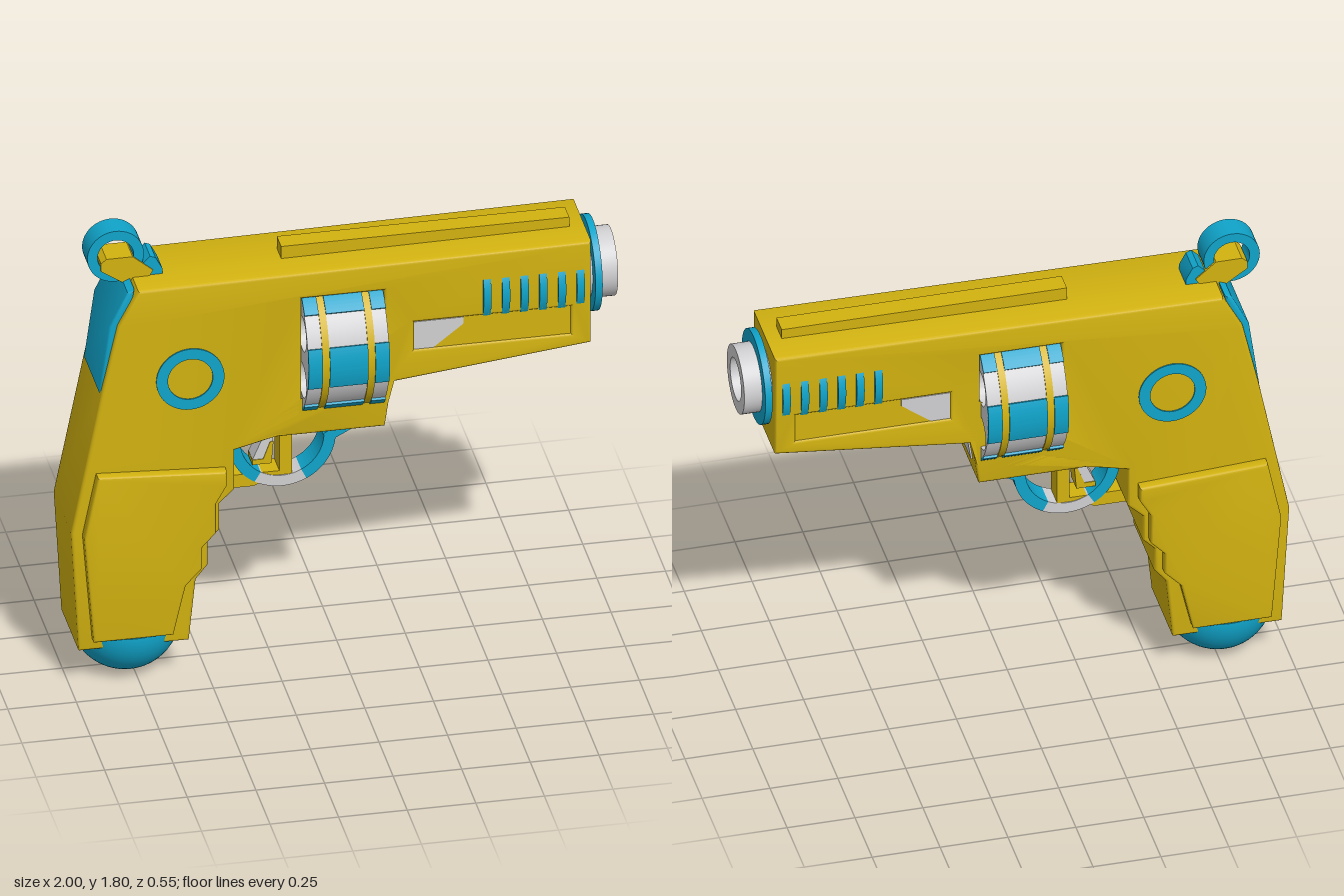
import * as THREE from 'three';
import { toCreasedNormals } from 'three/addons/utils/BufferGeometryUtils.js';

const mat = (name, color) => Object.assign(new THREE.MeshStandardMaterial({ color }), { name });

// Shape helpers
const poly = (pts) => new THREE.Shape(pts.map(([x, y]) => new THREE.Vector2(x, y)));
const disc = (r, x = 0, y = 0) => new THREE.Shape().absarc(x, y, r, 0, Math.PI * 2, false);
function ring(ro, ri, x = 0, y = 0) {
  const s = disc(ro, x, y);
  s.holes.push(disc(ri, x, y));
  return s;
}
function arcBand(ro, ri, a0, a1, x = 0, y = 0) {
  const s = new THREE.Shape();
  const d = Math.PI / 180;
  s.absarc(x, y, ro, a0 * d, a1 * d, false);
  s.absarc(x, y, ri, a1 * d, a0 * d, true);
  s.closePath();
  return s;
}
const rect = (x0, x1, y0, y1) => poly([[x0, y0], [x1, y0], [x1, y1], [x0, y1]]);

// Extrude a side outline between z0 and z1, with an optional bevel kept inside the outline
function slab(shape, z0, z1, bevel = 0) {
  const g = new THREE.ExtrudeGeometry(shape, {
    depth: z1 - z0 - 2 * bevel, bevelEnabled: bevel > 0, bevelThickness: bevel,
    bevelSize: bevel, bevelOffset: -bevel, bevelSegments: 3, curveSegments: 24,
  });
  g.translate(0, 0, z0 + bevel);
  return toCreasedNormals(g, 0.6);
}
// Extrude a cross-section along x, centred on height y
const alongX = (shape, x0, x1, y) => slab(shape, x0, x1).rotateY(Math.PI / 2).translate(0, y, 0);

export function createModel() {
  const yellow = mat('yellow', 0xd2b210);
  const teal = mat('teal', 0x10a4ca);
  const grey = mat('lightGrey', 0xd0d0d2);
  const group = new THREE.Group();
  const add = (name, geometry, material) => {
    const m = new THREE.Mesh(geometry, material);
    m.name = name;
    group.add(m);
    return m;
  };

  // Body with the drum window and side panel cut out
  const body = poly([
    [-0.972, 0.16], [-0.57, 0.16], [-0.545, 0.406], [-0.502, 0.46], [-0.502, 0.556],
    [-0.46, 0.6], [-0.46, 0.706], [-0.405, 0.76], [-0.405, 0.92], [-0.255, 0.957],
    [0.144, 0.957], [0.17, 1.135], [0.895, 1.215], [0.895, 1.63], [-0.755, 1.613],
    [-0.828, 1.476], [-0.888, 1.21], [-1, 0.647],
  ]);
  body.holes.push(rect(-0.16, 0.14, 1.055, 1.515), rect(0.25, 0.82, 1.26, 1.372));
  add('body', slab(body, -0.162, 0.162, 0.012), yellow);
  add('sidePanelFill', slab(rect(0.24, 0.83, 1.25, 1.38), -0.155, 0.155), yellow);
  add('topRail', slab(rect(-0.21, 0.84, 1.6, 1.668), -0.038, 0.038), yellow);

  // Parts repeated on both sides
  const gripOutline = poly([
    [-0.91, 0.885], [-0.96, 0.64], [-0.925, 0.21], [-0.635, 0.21], [-0.59, 0.406],
    [-0.53, 0.47], [-0.53, 0.556], [-0.48, 0.61], [-0.48, 0.73], [-0.44, 0.8], [-0.44, 0.858],
  ]);
  const panelMark = poly([[0.25, 1.26], [0.32, 1.26], [0.43, 1.345], [0.43, 1.372], [0.25, 1.372]]);
  for (const [side, s] of [['left', 1], ['right', -1]]) {
    const both = (name, shape, a, b, material, bevel) =>
      add(side + name, slab(shape, s > 0 ? a : -b, s > 0 ? b : -a, bevel), material);
    both('GripPanel', gripOutline, 0.15, 0.202, yellow, 0.01);
    both('SideRing', ring(0.124, 0.082, -0.567, 1.235), 0.16, 0.167, teal);
    both('PanelMark', panelMark, 0.152, 0.158, grey);
  }

  // Rounded grip base
  add('gripBase', new THREE.SphereGeometry(0.2, 40, 16, 0, Math.PI * 2, Math.PI / 2, Math.PI / 2)
    .translate(-0.773, 0.205, 0), teal);
  add('gripBaseTop', new THREE.CylinderGeometry(0.2, 0.2, 0.01, 40).translate(-0.773, 0.205, 0), teal);

  // Rotating drum with six open chambers
  const drumY = 1.28;
  const core = disc(0.267);
  for (let i = 0; i < 6; i++) {
    const a = Math.PI / 6 + i * Math.PI / 3;
    core.holes.push(disc(0.066, 0.19 * Math.cos(a), 0.19 * Math.sin(a)));
  }
  add('drum', alongX(core, -0.158, 0.138, drumY), grey);
  for (const x of [-0.106, 0.06]) add('drumBand', alongX(ring(0.271, 0.262), x, x + 0.026, drumY), yellow);
  for (let i = 0; i < 6; i++) {
    for (const [x0, x1] of [[-0.158, -0.106], [-0.08, 0.06], [0.086, 0.138]]) {
      add('drumStrip', alongX(arcBand(0.276, 0.262, i * 60 - 17, i * 60 + 17), x0, x1, drumY), teal);
    }
  }

  // Barrel rings showing through the sides, and the muzzle
  const barrelY = 1.453;
  for (let i = 0; i < 6; i++) {
    const x = 0.515 + i * 0.068;
    add('ventRing', alongX(disc(0.176), x - 0.014, x + 0.014, 1.45), teal);
  }
  add('muzzleNeck', alongX(ring(0.125, 0.08), 0.88, 0.91, barrelY), grey);
  add('muzzleFlange', alongX(ring(0.175, 0.1), 0.908, 0.934, barrelY), teal);
  add('muzzle', alongX(ring(0.128, 0.08), 0.91, 1.0, barrelY), grey);
  add('boreEnd', alongX(disc(0.082), 0.89, 0.899, barrelY), teal);

  // Plates on the sloping face under the barrel
  const nose = new THREE.Group();
  nose.name = 'nosePlates';
  nose.position.set(0.163, 1.07, 0);
  nose.rotation.z = -0.145;
  const noseGrey = new THREE.Mesh(new THREE.BoxGeometry(0.008, 0.075, 0.22), grey);
  const noseTeal = new THREE.Mesh(
    slab(poly([[-0.11, 0.038], [0.11, 0.038], [0.13, 0.068], [-0.13, 0.068]]), -0.004, 0.004)
      .rotateY(Math.PI / 2), teal);
  noseGrey.name = 'noseInsert';
  noseTeal.name = 'noseTrim';
  nose.add(noseGrey, noseTeal);
  group.add(nose);

  // Trigger guard with a grey lower section and a forward strut
  const gx = -0.208, gy = 0.885, w = 0.047;
  add('guardRear', slab(arcBand(0.195, 0.152, 160, 239, gx, gy), -w, w), teal);
  add('guardBottom', slab(arcBand(0.195, 0.152, 239, 297, gx, gy), -w, w), grey);
  add('guardFront', slab(arcBand(0.195, 0.152, 297, 360, gx, gy), -w, w), teal);
  add('guardStrut', slab(poly([[-0.06, 0.885], [-0.014, 0.865], [0.14, 0.945], [0.14, 0.965], [0.08, 0.965]]), -w, w), teal);
  add('underPlate', slab(rect(-0.05, 0.13, 0.95, 0.959), -0.13, 0.13), teal);

  // Trigger and its L-shaped frame
  add('triggerFrame', slab(poly([
    [-0.43, 0.7], [-0.31, 0.7], [-0.24, 0.735], [-0.172, 0.735], [-0.172, 0.965],
    [-0.218, 0.965], [-0.218, 0.752], [-0.43, 0.752],
  ]), -0.045, 0.045), yellow);
  add('trigger', slab(poly([
    [-0.31, 0.965], [-0.235, 0.965], [-0.24, 0.86], [-0.275, 0.8], [-0.315, 0.8], [-0.28, 0.88],
  ]), -0.035, 0.035), grey);
  add('triggerTip', slab(poly([
    [-0.315, 0.782], [-0.245, 0.782], [-0.238, 0.87], [-0.25, 0.87], [-0.275, 0.802], [-0.315, 0.802],
  ]), -0.038, 0.038), yellow);
  add('triggerRear', slab(poly([[-0.4, 0.93], [-0.31, 0.945], [-0.33, 0.9], [-0.39, 0.84]]), -0.035, 0.035), teal);

  // Back plate, hammer and loop
  add('backPlate', slab(poly([
    [-0.765, 1.61], [-0.79, 1.6], [-0.856, 1.467], [-0.893, 1.2], [-0.85, 1.2], [-0.79, 1.45],
  ]), -0.142, 0.142, 0.01), teal);
  add('hammer', slab(poly([
    [-0.87, 1.65], [-0.87, 1.682], [-0.85, 1.698], [-0.755, 1.698], [-0.68, 1.635], [-0.7, 1.6], [-0.79, 1.595],
  ]), -0.055, 0.055), yellow);
  add('hammerLoop', slab(ring(0.103, 0.066, -0.815, 1.702), -w, w), teal);
  add('hammerFoot', slab(poly([
    [-0.72, 1.6], [-0.645, 1.6], [-0.645, 1.635], [-0.67, 1.682], [-0.69, 1.69], [-0.72, 1.66],
  ]), -0.05, 0.05), teal);

  return group;
}
